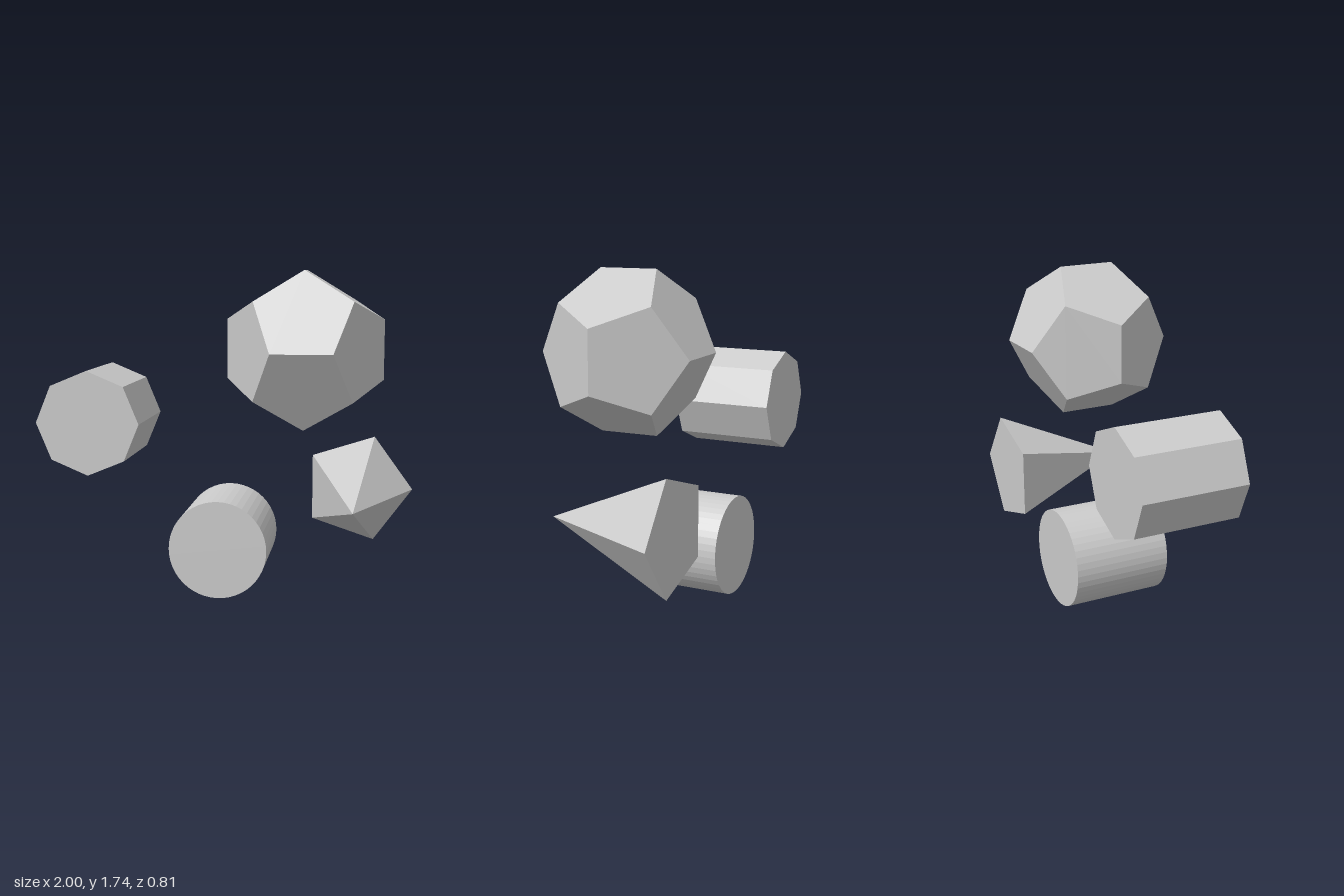
import * as THREE from 'three';

const BACK = -0.397; // shared back plane of the upright solids

export function createModel() {
  const group = new THREE.Group();
  const material = new THREE.MeshStandardMaterial({ color: 0xcccccc, flatShading: true });

  const add = (name, geometry, x, y, z) => {
    const mesh = new THREE.Mesh(geometry, material);
    mesh.name = name;
    mesh.position.set(x, y, z);
    group.add(mesh);
    return mesh;
  };

  // Prism, cylinder or pyramid lying along z, with a corner pointing to +x
  const addSolid = (name, x, y, frontRadius, backRadius, front, sides) => {
    const geometry = new THREE.CylinderGeometry(
      frontRadius, backRadius, front - BACK, sides, 1, false, Math.PI / 2);
    geometry.rotateX(Math.PI / 2);
    return add(name, geometry, x, y, (front + BACK) / 2);
  };

  addSolid('octagonalPrism', -0.72, 0.935, 0.28, 0.28, 0.163, 8);
  addSolid('cylinder', -0.028, 0.263, 0.263, 0.263, 0.127, 48);
  addSolid('pentagonalPyramid', 0.69, 0.52, 0, 0.31, 0.284, 5);

  // Dodecahedron with a horizontal edge at the front, turned very slightly
  const dodecahedron = new THREE.DodecahedronGeometry(0.439);
  dodecahedron.rotateZ(Math.PI / 2);
  dodecahedron.scale(1, 1, 0.975);
  add('dodecahedron', dodecahedron, 0.42, 1.33, -0.005).rotation.y = 0.025;

  return group;
}
